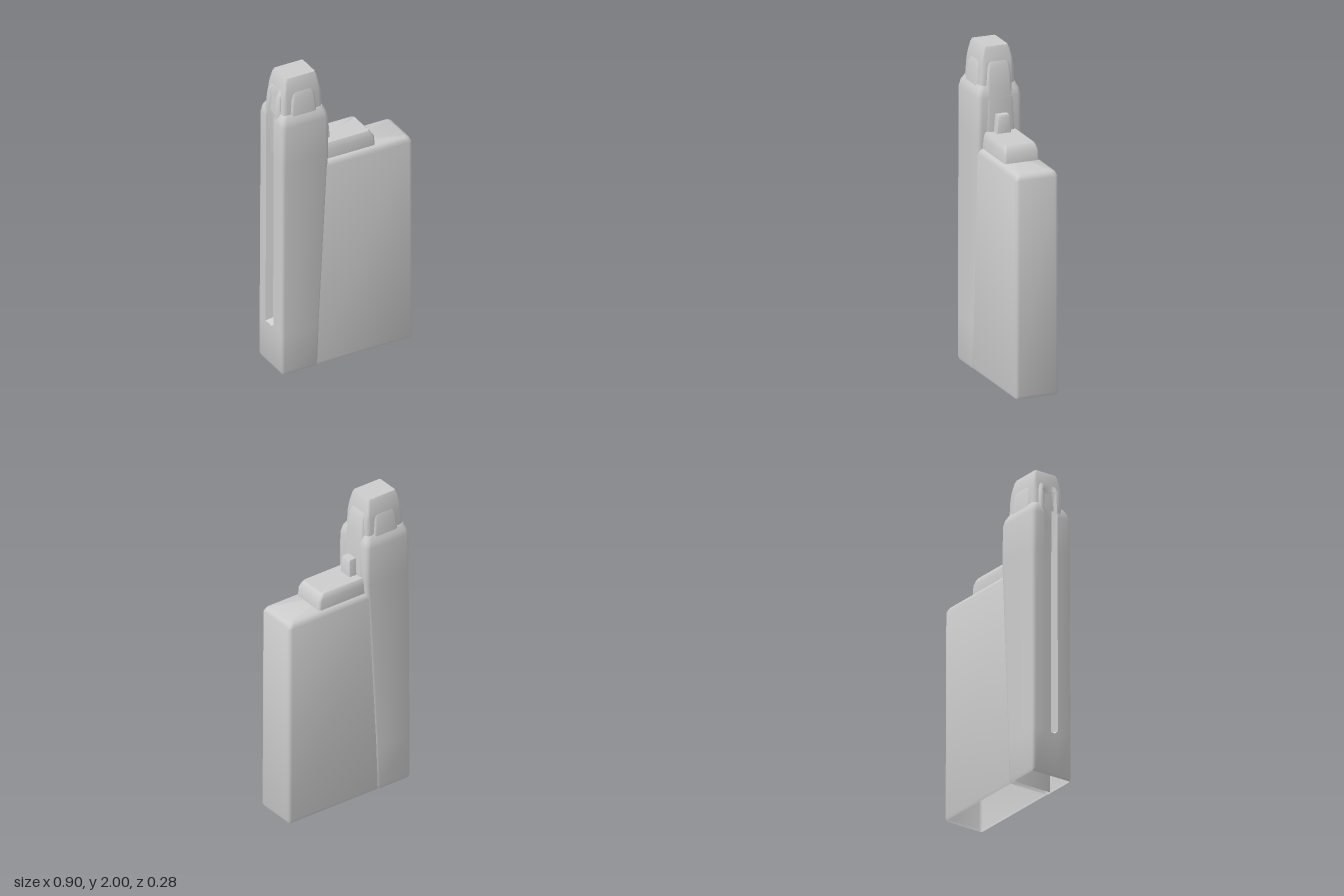
import * as THREE from 'three';
import { toCreasedNormals } from 'three/addons/utils/BufferGeometryUtils.js';

const stone = new THREE.MeshStandardMaterial({ color: 0xcccccc, side: THREE.DoubleSide });
stone.name = 'pale stone';

// Rounded rectangle outline, counter-clockwise from above, with an optional groove in the -x side
function outline([, x0, x1, z0, z1, r, groove]) {
  const pts = [];
  const corner = (cx, cz, start) => {
    for (let k = 0; k <= 3; k++) {
      const a = start + (k / 3) * Math.PI / 2;
      pts.push([cx + r * Math.cos(a), cz - r * Math.sin(a)]);
    }
  };
  corner(x1 - r, z0 + r, 0);
  corner(x0 + r, z0 + r, Math.PI / 2);
  if (groove !== undefined) {
    pts.push([x0, -0.055], [x0 + groove, -0.035], [x0 + groove, 0.02], [x0, 0.04]);
  }
  corner(x0 + r, z1 - r, Math.PI);
  corner(x1 - r, z1 - r, Math.PI * 1.5);
  return pts;
}

// Skin a stack of [y, x0, x1, z0, z1, cornerRadius, groove] sections; open below, closed on top
function loft(name, sections) {
  const pos = [];
  const rings = sections.map((s) => outline(s).map(([x, z]) => new THREE.Vector3(x, s[0], z)));
  const tri = (...vs) => vs.forEach((v) => pos.push(v.x, v.y, v.z));
  const n = rings[0].length;
  for (let j = 0; j < rings.length - 1; j++) {
    for (let i = 0; i < n; i++) {
      const k = (i + 1) % n;
      const a = rings[j][i], b = rings[j][k], c = rings[j + 1][i], d = rings[j + 1][k];
      tri(a, b, d);
      tri(a, d, c);
    }
  }
  const top = rings[rings.length - 1], s = sections[sections.length - 1];
  const centre = new THREE.Vector3((s[1] + s[2]) / 2, s[0], (s[3] + s[4]) / 2);
  for (let i = 0; i < n; i++) tri(centre, top[i], top[(i + 1) % n]);
  const geo = new THREE.BufferGeometry();
  geo.setAttribute('position', new THREE.Float32BufferAttribute(pos, 3));
  const mesh = new THREE.Mesh(toCreasedNormals(geo, 0.7), stone);
  mesh.name = name;
  return mesh;
}

export function createModel() {
  const model = new THREE.Group();
  model.name = 'steppedTower';

  // Low slab with softened shoulders
  model.add(loft('mainSlab', [
    [0, -0.25, 0.44, -0.133, 0.133, 0.015],
    [0.02, -0.25, 0.447, -0.138, 0.138, 0.02],
    [1.355, -0.25, 0.443, -0.138, 0.138, 0.025],
    [1.38, -0.25, 0.43, -0.127, 0.127, 0.025],
    [1.39, -0.25, 0.41, -0.11, 0.11, 0.02],
  ]));

  // Setback storey on the slab
  model.add(loft('upperStep', [
    [1.38, -0.2, 0.205, -0.114, 0.11, 0.015],
    [1.45, -0.2, 0.2, -0.112, 0.108, 0.015],
    [1.48, -0.2, 0.18, -0.105, 0.1, 0.015],
    [1.49, -0.2, 0.17, -0.098, 0.095, 0.015],
  ]));

  // Small buttress between tower and step
  model.add(loft('smallButtress', [
    [1.48, -0.16, -0.068, -0.048, 0.045, 0.004],
    [1.59, -0.16, -0.072, -0.04, 0.035, 0.004],
    [1.6, -0.16, -0.078, -0.038, 0.033, 0.004],
  ]));

  // Tower shaft, slotted on its outer end
  model.add(loft('towerShaft', [
    [0, -0.44, -0.21, -0.137, 0.137, 0.015, 0],
    [0.02, -0.45, -0.2, -0.142, 0.142, 0.02, 0],
    [0.28, -0.45, -0.19, -0.142, 0.142, 0.02, 0],
    [0.3, -0.45, -0.19, -0.142, 0.142, 0.02, 0.04],
    [1.45, -0.447, -0.125, -0.141, 0.141, 0.025, 0.04],
    [1.7, -0.447, -0.125, -0.141, 0.141, 0.03, 0.04],
    [1.74, -0.44, -0.135, -0.132, 0.132, 0.03, 0.035],
    [1.77, -0.425, -0.15, -0.115, 0.115, 0.03, 0.02],
  ]));

  // Crown piers crossing the tower in both directions
  model.add(loft('frontBackPier', [
    [1.7, -0.38, -0.19, -0.13, 0.13, 0.02],
    [1.77, -0.375, -0.195, -0.12, 0.12, 0.02],
    [1.87, -0.365, -0.205, -0.113, 0.113, 0.02],
    [1.91, -0.355, -0.215, -0.098, 0.098, 0.02],
  ]));
  model.add(loft('sidePier', [
    [1.45, -0.44, -0.117, -0.095, 0.09, 0.02, 0.03],
    [1.68, -0.444, -0.122, -0.09, 0.085, 0.02, 0.03],
    [1.76, -0.441, -0.135, -0.085, 0.08, 0.02, 0.025],
    [1.87, -0.432, -0.145, -0.075, 0.07, 0.015, 0.015],
    [1.91, -0.41, -0.163, -0.065, 0.06, 0.015, 0],
  ]));

  // Tapered crown and flat cap
  model.add(loft('crown', [
    [1.74, -0.425, -0.15, -0.112, 0.112, 0.03],
    [1.87, -0.415, -0.155, -0.106, 0.104, 0.025],
    [1.92, -0.405, -0.167, -0.1, 0.097, 0.015],
    [1.98, -0.393, -0.179, -0.086, 0.084, 0.012],
    [2, -0.385, -0.187, -0.077, 0.076, 0.01],
  ]));

  return model;
}
